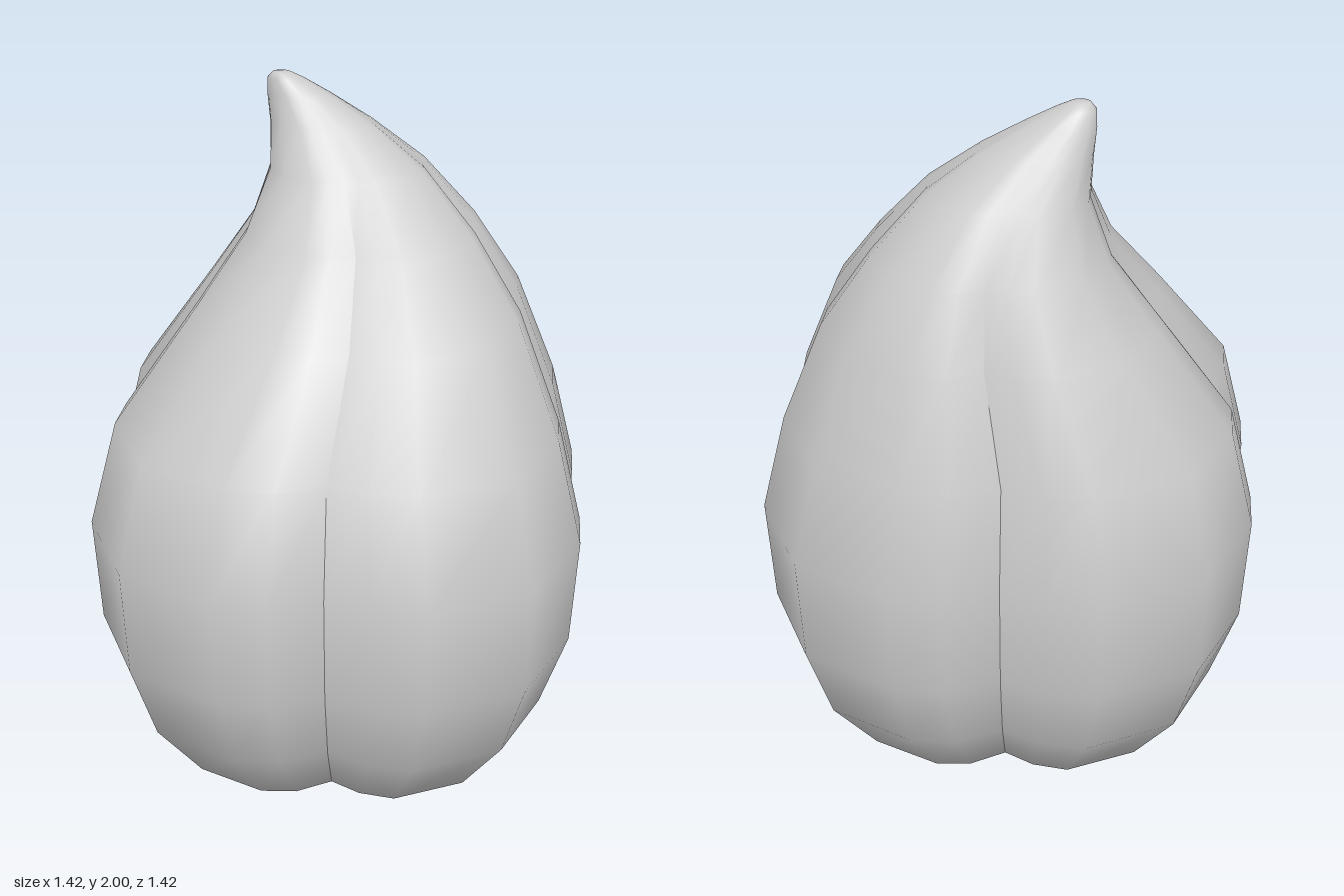
import * as THREE from 'three';

// One lobe of the cross-section (x, z), from groove to groove; four turns make the ring
const LOBE = [[-0.14, -0.61], [-0.01, -0.69], [0.13, -0.715], [0.41, -0.645], [0.6, -0.41], [0.625, -0.27]];
const R = 0.715;

// Rows from base to tip: height, centre x, centre z, half width, half depth, groove strength
const ROWS = [
  [0.07, 0, 0, 0.1, 0.1, 1],
  [0.03, 0, 0, 0.16, 0.16, 1.3],
  [0.0, 0, 0, 0.29, 0.29, 1.6],
  [0.095, 0, 0, 0.487, 0.487, 1.4],
  [0.3, 0, 0, 0.625, 0.625, 1.2],
  [0.54, 0, 0, 0.7, 0.7, 1.05],
  [0.85, 0, 0, 0.712, 0.712, 1],
  [1.13, -0.005, -0.02, 0.635, 0.63, 1],
  [1.41, 0.025, -0.085, 0.465, 0.465, 0.95],
  [1.6, 0.015, -0.14, 0.325, 0.32, 0.9],
  [1.76, -0.03, -0.155, 0.22, 0.195, 0.7],
  [1.87, -0.105, -0.155, 0.147, 0.107, 0.5],
  [1.94, -0.165, -0.148, 0.09, 0.062, 0.2],
  [1.98, -0.2, -0.14, 0.05, 0.04, 0],
  [1.996, -0.21, -0.136, 0.025, 0.022, 0],
];
const SPLIT = 10; // grooves are sharp below this row and smooth above it
const N = LOBE.length;

function bulb() {
  const pos = [], index = [];
  const id = (i, k, j) => {
    if (j === N && i >= SPLIT) { k += 1; j = 0; }
    return (i * 4 + (k % 4)) * (N + 1) + j;
  };
  for (const [y, cx, cz, rx, rz, groove] of ROWS) {
    for (let k = 0; k < 4; k++) {
      for (let j = 0; j <= N; j++) {
        let [x, z] = LOBE[j % N];
        for (let t = 0; t < k + (j === N ? 1 : 0); t++) [x, z] = [-z, x];
        // Blend between a circle and the lobed outline
        const len = Math.hypot(x, z);
        const f = (R + (len - R) * groove) / (len * R);
        pos.push(cx + x * f * rx, y, cz + z * f * rz);
      }
    }
  }
  // Centres of the base pit and the tip
  const base = pos.length / 3, tip = base + 1, last = ROWS.length - 1;
  pos.push(0, 0.08, 0, -0.212, 2, -0.135);

  for (let k = 0; k < 4; k++) {
    for (let j = 0; j < N; j++) {
      for (let i = 0; i < last; i++) {
        const a = id(i, k, j), b = id(i, k, j + 1), c = id(i + 1, k, j), d = id(i + 1, k, j + 1);
        index.push(a, c, b, b, c, d);
      }
      index.push(base, id(0, k, j), id(0, k, j + 1));
      index.push(tip, id(last, k, j + 1), id(last, k, j));
    }
  }
  const geo = new THREE.BufferGeometry();
  geo.setAttribute('position', new THREE.Float32BufferAttribute(pos, 3));
  geo.setIndex(index);
  geo.computeVertexNormals();
  return geo;
}

export function createModel() {
  const model = new THREE.Group();
  model.name = 'lobedBulb';
  const body = new THREE.Mesh(bulb(), new THREE.MeshStandardMaterial({ color: 0xcccccc }));
  body.name = 'bulbBody';
  model.add(body);
  return model;
}
